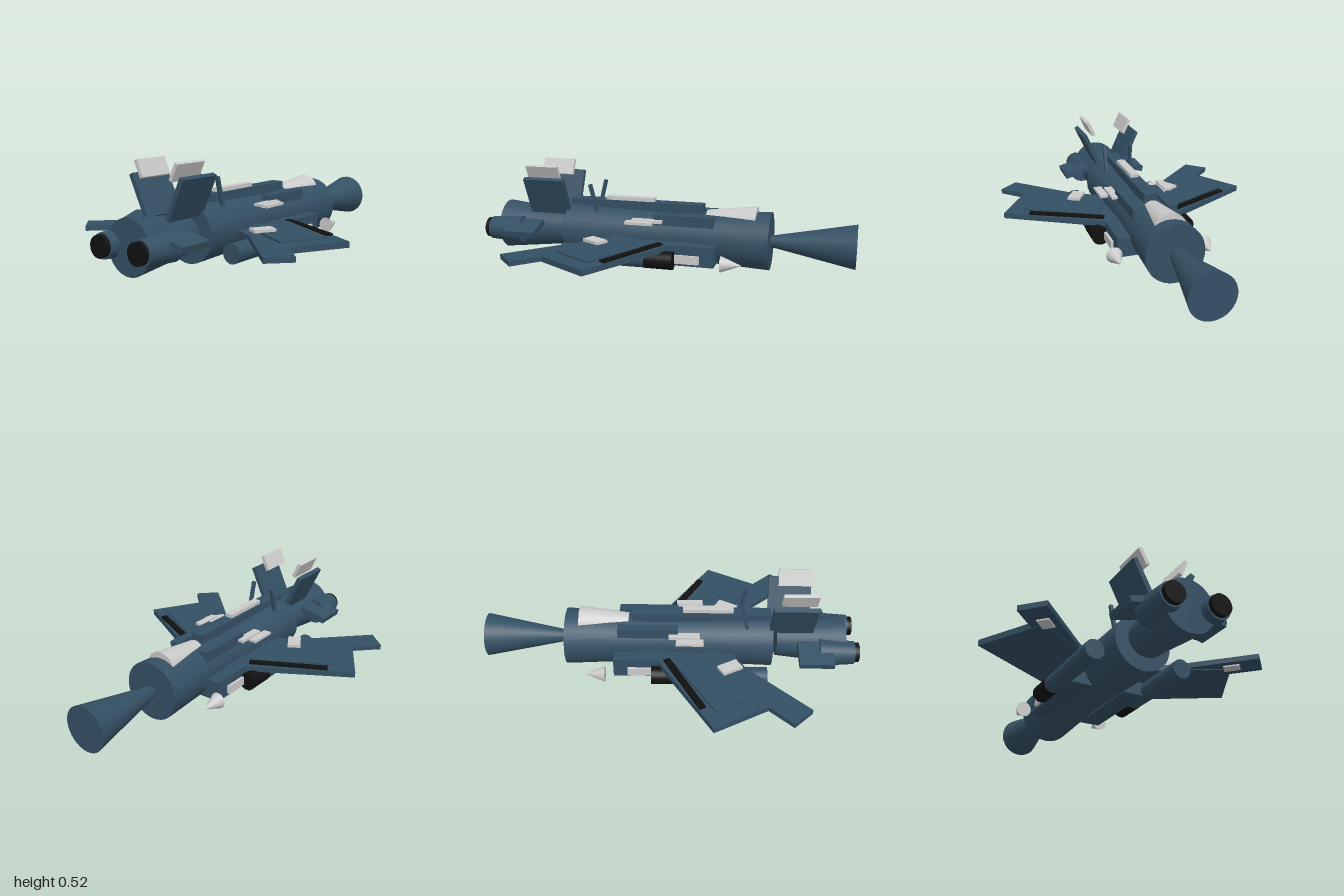
import * as THREE from 'three';

const paint = (color) => new THREE.MeshStandardMaterial({ color });
const rad = THREE.MathUtils.degToRad;

export function createModel() {
  const model = new THREE.Group();
  const blue = paint(0x345064), grey = paint(0xcccccc), black = paint(0x111111);

  function add(name, geometry, material, [x, y, z], [rx, ry, rz] = [0, 0, 0]) {
    const mesh = new THREE.Mesh(geometry, material);
    mesh.name = name;
    mesh.position.set(x, y, z);
    mesh.rotation.set(rx, ry, rz);
    model.add(mesh);
  }

  // Box with centre, size and optional rotation
  const box = (name, mat, pos, size, rot) => add(name, new THREE.BoxGeometry(...size), mat, pos, rot);

  // Tapered cylinder along z, from z0 (radius r0) to z1 (radius r1)
  function barrel(name, mat, x, y, z0, r0, z1, r1, sides = 32) {
    const geometry = new THREE.CylinderGeometry(r1, r0, z1 - z0, sides).rotateX(Math.PI / 2);
    add(name, geometry, mat, [x, y, (z0 + z1) / 2]);
  }

  // Hull
  barrel('noseCone', blue, 0, 0.158, -1, 0.116, -0.565, 0.03);
  barrel('forwardFuselage', blue, 0, 0.158, -0.565, 0.153, -0.04, 0.128);
  barrel('midFuselage', blue, 0, 0.158, -0.04, 0.13, 0.545, 0.149);
  barrel('tailCone', blue, 0, 0.16, 0.57, 0.094, 0.93, 0.134);
  barrel('canopy', grey, 0, 0.254, -0.49, 0.085, -0.225, 0.053);
  box('spine', blue, [0, 0.3, 0.165], [0.07, 0.07, 0.74]);
  box('spinePanel', grey, [0, 0.345, 0.2], [0.044, 0.02, 0.27]);

  for (const s of [1, -1]) {
    const side = s > 0 ? 'left' : 'right';
    const sweep = -rad(30) * s;

    // Shoulder rails and panels
    box(side + 'ShoulderRail', blue, [s * 0.094, 0.262, -0.12], [0.05, 0.055, 0.32]);
    box(side + 'InnerShoulderPanel', grey, [s * 0.128, 0.257, 0.073], [0.045, 0.014, 0.165]);
    box(side + 'OuterShoulderPanel', grey, [s * 0.182, 0.257, 0.103], [0.043, 0.014, 0.145]);

    // Wing with raised skin, slat, panel and angled flap
    box(side + 'Wing', blue, [s * 0.345, 0.14, 0.232], [0.6, 0.03, 0.376], [0, sweep, 0]);
    box(side + 'WingSkin', blue, [s * 0.35, 0.156, 0.235], [0.42, 0.018, 0.25], [0, sweep, 0]);
    box(side + 'WingSlat', black, [s * 0.383, 0.156, 0.075], [0.41, 0.018, 0.035], [0, -rad(27) * s, 0]);
    box(side + 'WingPanel', grey, [s * 0.273, 0.172, 0.312], [0.07, 0.016, 0.115], [0, sweep, 0]);
    box(side + 'Flap', blue, [s * 0.433, 0.141, 0.477], [0.5, 0.026, 0.14], [0, -rad(45) * s, 0]);
    box(side + 'FlapPanel', grey, [s * 0.505, 0.126, 0.56], [0.08, 0.01, 0.06], [0, -rad(45) * s, 0]);

    // Intake block, pod and cone under the wing
    box(side + 'Intake', blue, [s * 0.15, 0.103, -0.05], [0.115, 0.105, 0.5]);
    box(side + 'IntakePanel', grey, [s * 0.2, 0.087, -0.15], [0.044, 0.044, 0.15]);
    barrel(side + 'Pod', blue, s * 0.238, 0.085, 0.04, 0.046, 0.51, 0.05);
    barrel(side + 'PodMouth', black, s * 0.24, 0.085, -0.097, 0.047, 0.05, 0.047);
    barrel(side + 'WarheadCone', grey, s * 0.238, 0.087, -0.45, 0, -0.342, 0.042);

    // Engine and stabiliser
    barrel(side + 'Engine', blue, s * 0.12, 0.16, 0.79, 0.074, 0.975, 0.061);
    barrel(side + 'Nozzle', black, s * 0.118, 0.161, 0.96, 0.053, 1, 0.053);
    box(side + 'Stabiliser', blue, [s * 0.175, 0.185, 0.767], [0.155, 0.032, 0.182], [0, 0, -0.25 * s]);

    // Canted fin with floating tip, and antenna
    const cant = -rad(25) * s;
    box(side + 'Fin', blue, [s * 0.112, 0.358, 0.642], [0.025, 0.22, 0.23], [0, 0, cant]);
    box(side + 'FinTip', grey, [s * 0.109, 0.483, 0.665], [0.02, 0.09, 0.182], [0, 0, cant]);
    box(side + 'Antenna', blue, [s * 0.073, 0.345, 0.39], [0.018, 0.165, 0.018], [0.24 * s, 0, 0]);
  }
  return model;
}
